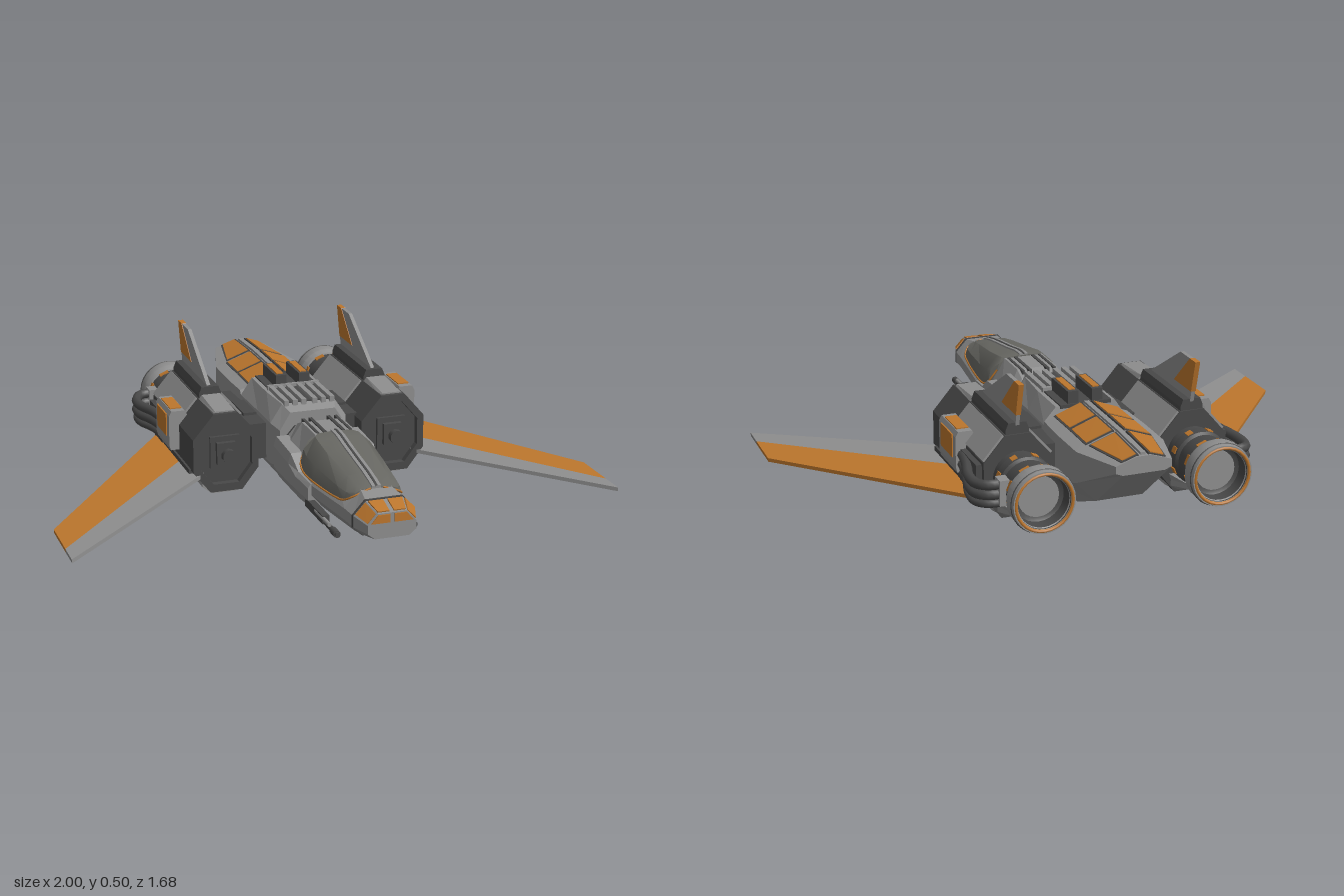
import * as THREE from 'three';
import { toCreasedNormals } from 'three/addons/utils/BufferGeometryUtils.js';

export function createModel() {
  const root = new THREE.Group();
  root.name = 'starfighter';
  const mat = (name, color) => Object.assign(new THREE.MeshStandardMaterial({ color }), { name });
  const light = mat('light grey', 0x8e8e8e), dark = mat('dark grey', 0x484848);
  const orange = mat('orange', 0xbc762d), glass = mat('canopy glass', 0x676762);

  const add = (name, geo, m) => {
    const mesh = new THREE.Mesh(geo, m);
    mesh.name = name;
    root.add(mesh);
  };
  // Adds a part built on the +x side and its mirror image
  const pair = (name, geo, m) => {
    add(name + 'Left', geo, m);
    const g = geo.clone().scale(-1, 1, 1);
    const src = g.index ? Array.from(g.index.array) : Array.from({ length: g.attributes.position.count }, (_, i) => i);
    for (let i = 0; i < src.length; i += 3) [src[i + 1], src[i + 2]] = [src[i + 2], src[i + 1]];
    g.setIndex(src);
    add(name + 'Right', g, m);
  };
  const fromTriangles = (pos) => {
    const g = new THREE.BufferGeometry();
    g.setAttribute('position', new THREE.Float32BufferAttribute(pos, 3));
    g.computeVertexNormals();
    return g;
  };
  // Joins matching rings of points (counter-clockwise from outside the last ring) and caps both ends
  const skin = (rings) => {
    const out = [], n = rings[0].length, tri = (...p) => p.forEach((q) => out.push(...q));
    for (let k = 0; k + 1 < rings.length; k++)
      for (let i = 0; i < n; i++) {
        const j = (i + 1) % n, a = rings[k], b = rings[k + 1];
        tri(a[i], a[j], b[j]);
        tri(a[i], b[j], b[i]);
      }
    const f = rings[0], l = rings[rings.length - 1];
    for (let i = 1; i + 1 < n; i++) {
      tri(f[0], f[i + 1], f[i]);
      tri(l[0], l[i], l[i + 1]);
    }
    return fromTriangles(out);
  };
  // Octagonal hull from back to front: z, top/mid/bottom half widths, four heights upwards
  const hull = (sections, cx = 0) => skin(sections.map(([z, t, m, b, y0, y1, y2, y3]) =>
    [[b, y0], [m, y1], [m, y2], [t, y3], [-t, y3], [-m, y2], [-m, y1], [-b, y0]].map(([x, y]) => [cx + x, y, z])));
  // Flat convex plate, corners counter-clockwise from outside, raised by t
  const plate = (pts, t, sink = 0) => {
    const v = pts.map((p) => new THREE.Vector3(...p));
    const n = v[1].clone().sub(v[0]).cross(v[2].clone().sub(v[0])).normalize();
    return skin([-sink, t].map((d) => v.map((p) => p.clone().addScaledVector(n, d).toArray())));
  };
  // Box from its bounds
  const box = (x0, x1, y0, y1, z0, z1) => new THREE.BoxGeometry(x1 - x0, y1 - y0, z1 - z0)
    .translate((x0 + x1) / 2, (y0 + y1) / 2, (z0 + z1) / 2);
  const rod = (r, z0, z1, x, y) => new THREE.CylinderGeometry(r, r, z1 - z0, 10)
    .rotateX(Math.PI / 2).translate(x, y, (z0 + z1) / 2);
  const tube = (pts, r) => new THREE.TubeGeometry(
    new THREE.CatmullRomCurve3(pts.map((p) => new THREE.Vector3(...p))), 24, r, 8);

  // Front fuselage with nose
  add('frontFuselage', hull([
    [0.08, 0.07, 0.12, 0.085, 0.09, 0.13, 0.2, 0.25],
    [0.1, 0.075, 0.14, 0.1, 0.075, 0.13, 0.2, 0.275],
    [0.15, 0.075, 0.14, 0.1, 0.075, 0.13, 0.2, 0.295],
    [0.29, 0.075, 0.14, 0.1, 0.075, 0.13, 0.18, 0.295],
    [0.43, 0.06, 0.138, 0.09, 0.075, 0.13, 0.165, 0.268],
    [0.69, 0.055, 0.113, 0.075, 0.09, 0.135, 0.175, 0.234],
    [0.765, 0.065, 0.108, 0.075, 0.105, 0.135, 0.175, 0.222],
    [0.84, 0.05, 0.085, 0.06, 0.115, 0.135, 0.165, 0.203]]), light);
  add('noseSeam', hull([
    [0.757, 0.067, 0.111, 0.077, 0.102, 0.133, 0.177, 0.226],
    [0.765, 0.067, 0.11, 0.077, 0.102, 0.133, 0.177, 0.226]]), dark);
  pair('noseTopPanel', plate([[0.008, 0.204, 0.833], [0.049, 0.204, 0.833], [0.06, 0.221, 0.772], [0.008, 0.221, 0.772]], 0.005, 0.002), orange);
  pair('noseSidePanel', plate([[0.083, 0.169, 0.833], [0.103, 0.181, 0.772], [0.068, 0.219, 0.772], [0.054, 0.2, 0.833]], 0.004, 0.002), orange);
  pair('noseFrontPanel', plate([[0.008, 0.17, 0.84], [0.074, 0.17, 0.84], [0.05, 0.199, 0.84], [0.008, 0.199, 0.84]], 0.004), orange);

  // Shoulders beside the cockpit
  pair('shoulder', hull([
    [0.1, 0.03, 0.04, 0.02, 0.08, 0.12, 0.2, 0.235],
    [0.26, 0.03, 0.04, 0.02, 0.08, 0.12, 0.19, 0.225],
    [0.33, 0.025, 0.037, 0.02, 0.08, 0.12, 0.165, 0.18],
    [0.43, 0.015, 0.025, 0.015, 0.085, 0.11, 0.155, 0.17]], 0.125), light);

  // Canopy: z, half width, sill height, ridge height
  const canopy = [[0.285, 0.105, 0.255, 0.3], [0.305, 0.134, 0.205, 0.301], [0.345, 0.138, 0.185, 0.298],
    [0.43, 0.134, 0.18, 0.283], [0.6, 0.114, 0.184, 0.258], [0.66, 0.104, 0.193, 0.246], [0.693, 0.08, 0.215, 0.237]];
  add('canopy', toCreasedNormals(skin(canopy.map(([z, w, a, b]) => {
    const half = [[w, a], [w * 0.92, a + (b - a) * 0.5], [w * 0.6, a + (b - a) * 0.93], [w * 0.2, b]];
    return [...half, ...half.map(([x, y]) => [-x, y]).reverse()].map(([x, y]) => [x, y, z]);
  })), 0.6), glass);
  pair('canopyTrim', tube([...canopy.map(([z, w, a]) => [w, a, z]), [0.022, 0.237, 0.696]], 0.0035), orange);
  add('canopyRidge', skin(canopy.map(([z, , , y]) =>
    [[0.016, y - 0.03, z], [0.016, y + 0.006, z], [-0.016, y + 0.006, z], [-0.016, y - 0.03, z]])), light);
  add('ridgeSeam', skin(canopy.map(([z, , , y]) =>
    [[0.004, y, z], [0.004, y + 0.008, z], [-0.004, y + 0.008, z], [-0.004, y, z]])), dark);
  pair('spineSlot', box(0.028, 0.04, 0.28, 0.299, 0.12, 0.28), dark);
  pair('spineSlotOuter', box(0.056, 0.066, 0.28, 0.298, 0.12, 0.28), dark);

  // Guns under the shoulders
  pair('gunBody', box(0.125, 0.15, 0.08, 0.11, 0.4, 0.58), dark);
  pair('gunBarrel', rod(0.009, 0.55, 0.7, 0.138, 0.085), dark);
  pair('gunBarrelUpper', rod(0.007, 0.5, 0.64, 0.146, 0.1), light);
  pair('gunMuzzle', rod(0.013, 0.65, 0.69, 0.138, 0.085), dark);

  // Neck and rear fuselage with a pitched rear deck
  add('neck', hull([[0.03, 0.07, 0.115, 0.08, 0.08, 0.12, 0.2, 0.25], [0.09, 0.07, 0.115, 0.08, 0.08, 0.12, 0.2, 0.25]]), dark);
  const deck = [
    [-0.84, 0.025, 0.1, 0.075, 0.25, 0.26, 0.285, 0.31],
    [-0.64, 0.025, 0.158, 0.085, 0.085, 0.16, 0.272, 0.32],
    [-0.47, 0.025, 0.16, 0.085, 0.015, 0.095, 0.272, 0.322],
    [-0.335, 0.025, 0.155, 0.085, 0.014, 0.095, 0.272, 0.322]];
  add('rearFuselage', hull([...deck,
    [-0.33, 0.11, 0.153, 0.085, 0.014, 0.095, 0.255, 0.318],
    [-0.15, 0.11, 0.145, 0.085, 0.012, 0.095, 0.25, 0.318],
    [0, 0.1, 0.145, 0.085, 0.012, 0.095, 0.25, 0.318],
    [0.05, 0.085, 0.125, 0.08, 0.035, 0.1, 0.235, 0.3]]), light);

  // Orange panels with dark seams on the rear deck
  const deckPoint = (x, z) => {
    const i = z < -0.64 ? 0 : z < -0.47 ? 1 : 2;
    const k = (z - deck[i][0]) / (deck[i + 1][0] - deck[i][0]);
    const at = (c) => THREE.MathUtils.lerp(deck[i][c], deck[i + 1][c], k);
    return [x, at(7) - (x - 0.025) * (at(7) - at(6)) / (at(2) - 0.025), z];
  };
  [[-0.472, -0.345, 0.114, 0.114], [-0.622, -0.492, 0.114, 0.114], [-0.828, -0.65, 0.072, 0.108]]
    .forEach(([z0, z1, w0, w1]) => {
      const patch = (e) => [[0.023 - e, z1 + e], [w1 + e, z1 + e], [w0 + e, z0 - e], [0.023 - e, z0 - e]].map(([x, z]) => deckPoint(x, z));
      pair('deckPanel', plate(patch(0), 0.007, 0.004), orange);
      pair('deckSeam', plate(patch(0.006), 0.004, 0.004), dark);
    });
  add('deckSpine', skin([-0.83, -0.64, -0.34].map((z) => {
    const y = deckPoint(0.025, z)[1];
    return [[0.009, y - 0.01, z], [0.009, y + 0.009, z], [-0.009, y + 0.009, z], [-0.009, y - 0.01, z]];
  })), light);

  // Spine machinery
  add('machineryBed', box(-0.095, 0.095, 0.31, 0.323, -0.335, 0), dark);
  for (const x of [0.012, 0.045, 0.078]) pair('spineRib', box(x, x + 0.018, 0.31, 0.333, -0.165, 0.015), light);
  pair('spineVent', box(0.025, 0.065, 0.31, 0.368, -0.33, -0.175), dark);
  pair('spineVentPanel', box(0.033, 0.057, 0.366, 0.372, -0.315, -0.19), orange);
  add('spineBridge', box(-0.1, 0.1, 0.31, 0.335, -0.178, -0.165), light);

  // Engine struts
  pair('strut', box(0.13, 0.21, 0.1, 0.235, -0.45, -0.05), dark);
  pair('strutRib', box(0.15, 0.2, 0.12, 0.245, -0.3, -0.15), dark);

  // Nacelles
  const cx = 0.32, cy = 0.165;
  const shell = [0.045, 0.122, 0.06, 0.02, 0.1, 0.225, 0.315];
  pair('nacelle', hull([[-0.52, ...shell], [0, ...shell]], cx), dark);
  for (const s of [-1, 1]) {
    const p = [[-0.175, 0.119, 0.229], [-0.515, 0.119, 0.229], [-0.515, 0.047, 0.312], [-0.175, 0.047, 0.312]]
      .map(([z, x, y]) => [cx + s * x, y, z]);
    pair('nacellePanel', plate(s > 0 ? p : p.reverse(), 0.008, 0.003), light);
  }
  pair('nacelleCap', hull([[-0.16, 0.035, 0.045, 0.045, 0.29, 0.3, 0.315, 0.33], [0.01, 0.035, 0.045, 0.045, 0.29, 0.3, 0.31, 0.32]], cx), light);
  pair('nacelleCrest', hull([[-0.515, 0.032, 0.042, 0.042, 0.29, 0.3, 0.33, 0.355], [-0.17, 0.032, 0.042, 0.042, 0.29, 0.3, 0.33, 0.355]], cx), dark);
  pair('nacelleKeel', hull([
    [-0.64, 0.06, 0.06, 0.04, 0.07, 0.075, 0.085, 0.09],
    [-0.48, 0.09, 0.08, 0.045, 0.012, 0.035, 0.06, 0.09],
    [-0.01, 0.09, 0.08, 0.045, 0.003, 0.03, 0.06, 0.09]], cx), light);

  // Intake lip, stepped inner plates and probe
  const outline = (k) => [[0.06, -0.145], [0.122, -0.065], [0.122, 0.06], [0.045, 0.15], [-0.045, 0.15], [-0.122, 0.06], [-0.122, -0.065], [-0.06, -0.145]]
    .map(([x, y]) => new THREE.Vector2(x * k, y * k));
  const lip = new THREE.Shape(outline(1));
  lip.holes.push(new THREE.Path(outline(0.8).reverse()));
  pair('intakeLip', new THREE.ExtrudeGeometry(lip, { depth: 0.025, bevelEnabled: false }).translate(cx, cy, 0), dark);
  pair('intakeStep', box(cx - 0.055, cx + 0.055, cy - 0.06, cy + 0.06, -0.01, 0.012), dark);
  pair('intakeBlock', box(cx - 0.035, cx + 0.035, cy - 0.04, cy + 0.04, 0, 0.03), dark);
  pair('intakeProbe', rod(0.016, 0, 0.055, cx, cy), dark);
  pair('intakeProbeTip', rod(0.026, 0.05, 0.072, cx, cy), dark);

  // Exhausts, turned along z
  const turned = (profile) => toCreasedNormals(new THREE.LatheGeometry(profile.map((p) => new THREE.Vector2(...p)), 28)
    .rotateX(-Math.PI / 2).translate(cx, cy, 0), 0.5);
  pair('exhaustBarrel', turned([[0, 0.5], [0.09, 0.5], [0.09, 0.55], [0.098, 0.56], [0.098, 0.6], [0.09, 0.61], [0.096, 0.69], [0, 0.69]]), dark);
  pair('exhaustBell', turned([[0.08, 0.685], [0.102, 0.69], [0.112, 0.71], [0.112, 0.755], [0.109, 0.772], [0.098, 0.772], [0.09, 0.76]]), light);
  pair('exhaustCore', turned([[0.093, 0.769], [0.088, 0.715], [0.075, 0.708], [0, 0.708]]), dark);
  pair('exhaustDisc', turned([[0, 0.7], [0.072, 0.7], [0.072, 0.713], [0, 0.713]]), light);
  pair('exhaustRim', new THREE.TorusGeometry(0.1, 0.006, 6, 28).translate(cx, cy, -0.77), orange);
  pair('exhaustBand', new THREE.TorusGeometry(0.11, 0.004, 6, 28).translate(cx, cy, -0.755), dark);
  for (let i = 0; i < 8; i++) {
    const place = (g) => g.rotateZ((i + 0.5) * Math.PI / 4).translate(cx, cy, 0);
    pair('barrelMark', place(box(0.09, 0.101, -0.011, 0.011, -0.592, -0.566)), orange);
    pair('bellMark', place(box(0.085, 0.099, -0.018, 0.018, -0.692, -0.672)), orange);
  }

  // Side pods with fuel pipes
  pair('sidePod', hull([[-0.34, 0.025, 0.035, 0.03, 0.13, 0.15, 0.26, 0.278], [-0.16, 0.025, 0.035, 0.03, 0.13, 0.15, 0.26, 0.278]], 0.445), light);
  pair('sidePodPanel', box(0.477, 0.484, 0.178, 0.262, -0.312, -0.188), orange);
  pair('sidePodTopPanel', box(0.424, 0.467, 0.275, 0.282, -0.312, -0.188), orange);
  pair('pipeHousing', box(0.42, 0.462, 0.1, 0.215, -0.5, -0.33), dark);
  for (const [y, r] of [[0.195, 0.018], [0.16, 0.018], [0.128, 0.014]])
    pair('fuelPipe', tube([[0.455, y, -0.33], [0.47, y, -0.42], [0.495, y - 0.005, -0.52], [0.492, y - 0.005, -0.59], [0.465, y, -0.63], [0.4, y, -0.635]], r), dark);
  pair('pipeSocket', box(0.4, 0.435, 0.125, 0.215, -0.66, -0.61), light);

  // Wings: grey leading part, orange trailing part
  const wing = (pts) => plate(pts.map(([x, z]) => [x, 0.092 - (x - 0.4) * 0.08, z]), 0, 0.014);
  pair('wingLeading', wing([[0.4, 0.01], [1, 0.515], [1, 0.42], [0.4, -0.2]]), light);
  pair('wingTrailing', wing([[0.4, -0.2], [1, 0.42], [1, 0.24], [0.42, -0.5], [0.4, -0.5]]), orange);
  pair('wingRoot', box(0.38, 0.45, 0.065, 0.105, -0.48, -0.01), dark);

  // Tail fins, drawn as (z, y) outlines
  const fin = (pts, w) => skin([cx - w, cx + w].map((x) => pts.map(([z, y]) => [x, y, z])));
  pair('tailFin', fin([[-0.17, 0.345], [-0.515, 0.345], [-0.555, 0.5], [-0.43, 0.5]], 0.007), light);
  pair('tailFinPaint', fin([[-0.385, 0.385], [-0.526, 0.385], [-0.556, 0.501], [-0.51, 0.501]], 0.009), orange);

  return root;
}
